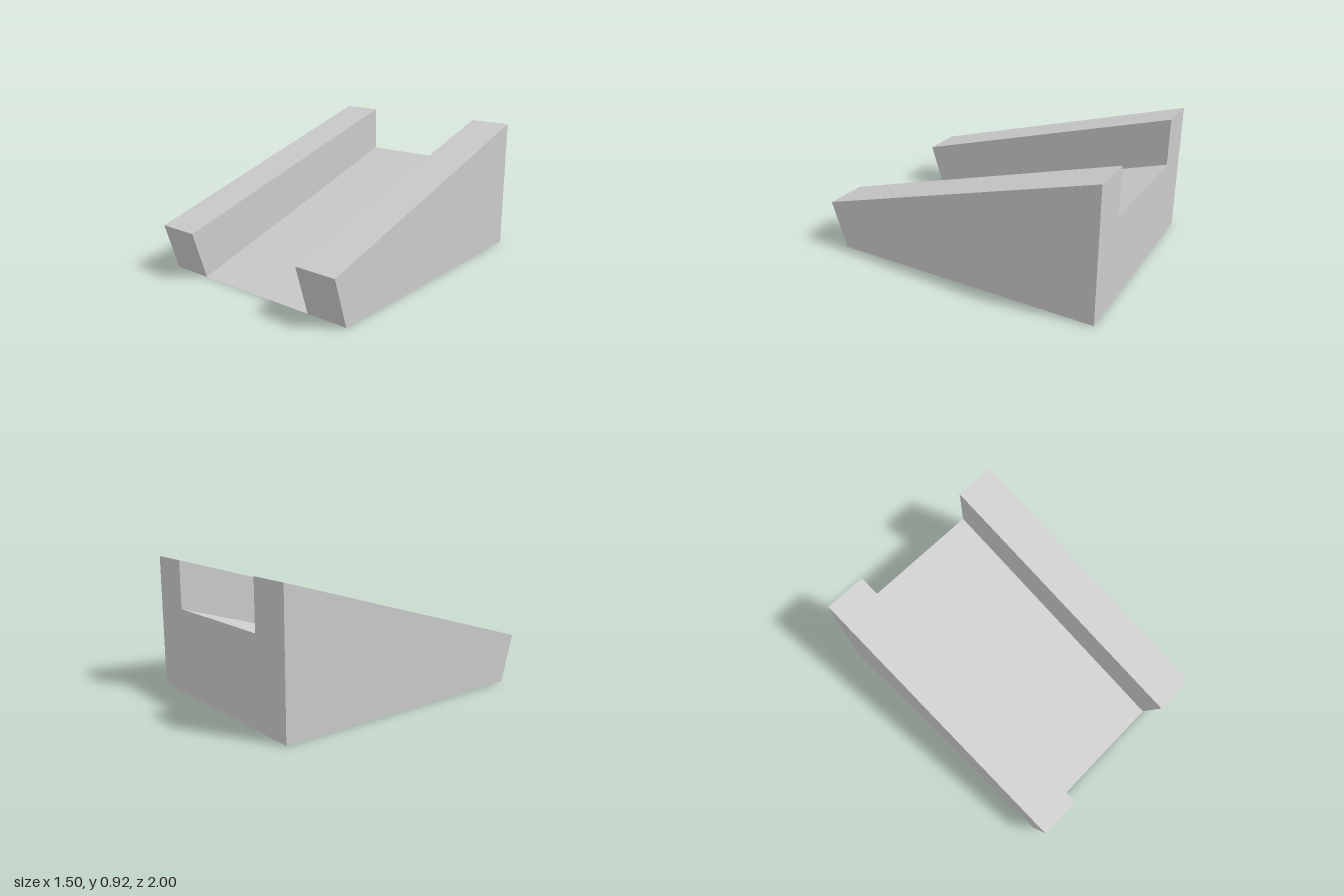
import * as THREE from 'three';

const HALF_WIDTH = 0.75, INNER = 0.456;

// Side profile given as [z, y] points, extruded across x and centred on it
function slab(name, profile, width, x) {
  const shape = new THREE.Shape(profile.map(([z, y]) => new THREE.Vector2(z, y)));
  const geometry = new THREE.ExtrudeGeometry(shape, { depth: width, bevelEnabled: false });
  geometry.translate(0, 0, -width / 2).rotateY(-Math.PI / 2).translate(x, 0, 0);
  const material = new THREE.MeshStandardMaterial({ color: 0xcccccc, flatShading: true });
  const mesh = new THREE.Mesh(geometry, material);
  mesh.name = name;
  return mesh;
}

export function createModel() {
  const model = new THREE.Group();
  model.name = 'ramp';

  // Sloped bed, rising from the ground at the front
  model.add(slab('rampBed', [[0.9, 0], [-1, 0.588], [-1, 0]], INNER * 2, 0));

  // Raised side rails with undercut front ends
  const rail = [[0.9, 0], [1, 0.33], [-1, 0.917], [-1, 0]];
  for (const [name, side] of [['leftRail', 1], ['rightRail', -1]]) {
    model.add(slab(name, rail, HALF_WIDTH - INNER, side * (HALF_WIDTH + INNER) / 2));
  }
  return model;
}
